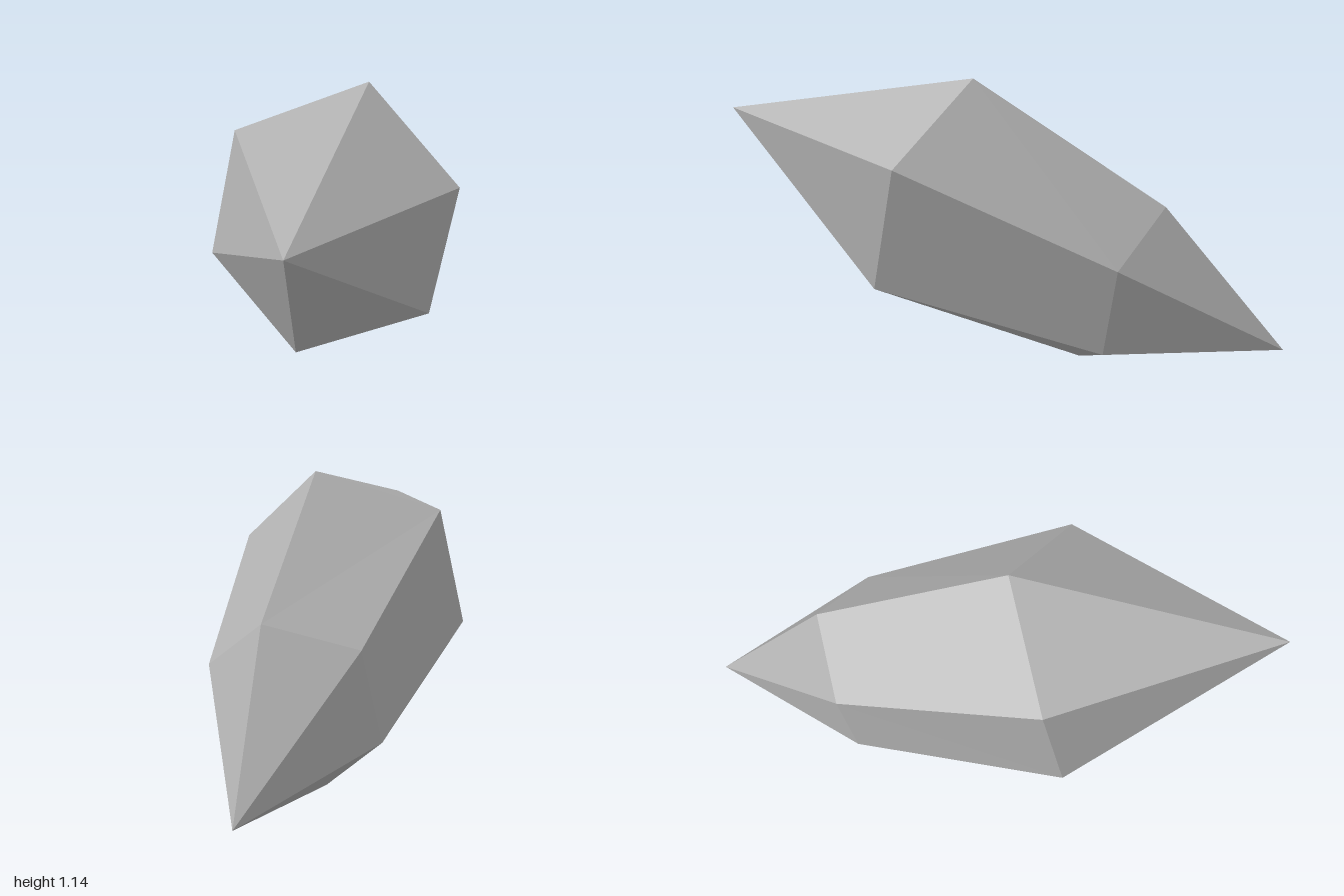
import * as THREE from 'three';

// Six-sided crystal: two pointed tips joined by a slightly tapering body.
export function createModel() {
  const wideTip = [-1, 0.985, 0.455];
  const wideRing = [
    [-0.39, 0.985, -0.25], [-0.04, 1.14, 0.10], [-0.08, 0.85, 0.52],
    [-0.21, 0.375, 0.49], [-0.56, 0.26, 0.14], [-0.52, 0.52, -0.28],
  ];
  const narrowRing = [
    [0.37, 0.575, -0.49], [0.61, 0.67, -0.245], [0.585, 0.48, 0.05],
    [0.51, 0.135, 0.02], [0.25, 0, -0.22], [0.29, 0.235, -0.52],
  ];
  const narrowTip = [1, 0.11, -0.505];

  const stone = new THREE.MeshStandardMaterial({ color: 0xb0b0b0, flatShading: true });
  stone.name = 'grey stone';

  const group = new THREE.Group();
  group.name = 'crystal';

  // Each part is a list of corners, three to a triangle.
  const addPart = (name, corners) => {
    const geometry = new THREE.BufferGeometry();
    geometry.setAttribute('position', new THREE.Float32BufferAttribute(corners.flat(), 3));
    geometry.computeVertexNormals();
    const mesh = new THREE.Mesh(geometry, stone);
    mesh.name = name;
    group.add(mesh);
  };

  const upperPoint = [], body = [], lowerPoint = [];
  for (let i = 0; i < 6; i++) {
    const j = (i + 1) % 6;
    upperPoint.push(wideTip, wideRing[j], wideRing[i]);
    body.push(wideRing[i], wideRing[j], narrowRing[j]);
    body.push(wideRing[i], narrowRing[j], narrowRing[i]);
    lowerPoint.push(narrowTip, narrowRing[i], narrowRing[j]);
  }
  addPart('upperPoint', upperPoint);
  addPart('body', body);
  addPart('lowerPoint', lowerPoint);
  return group;
}
